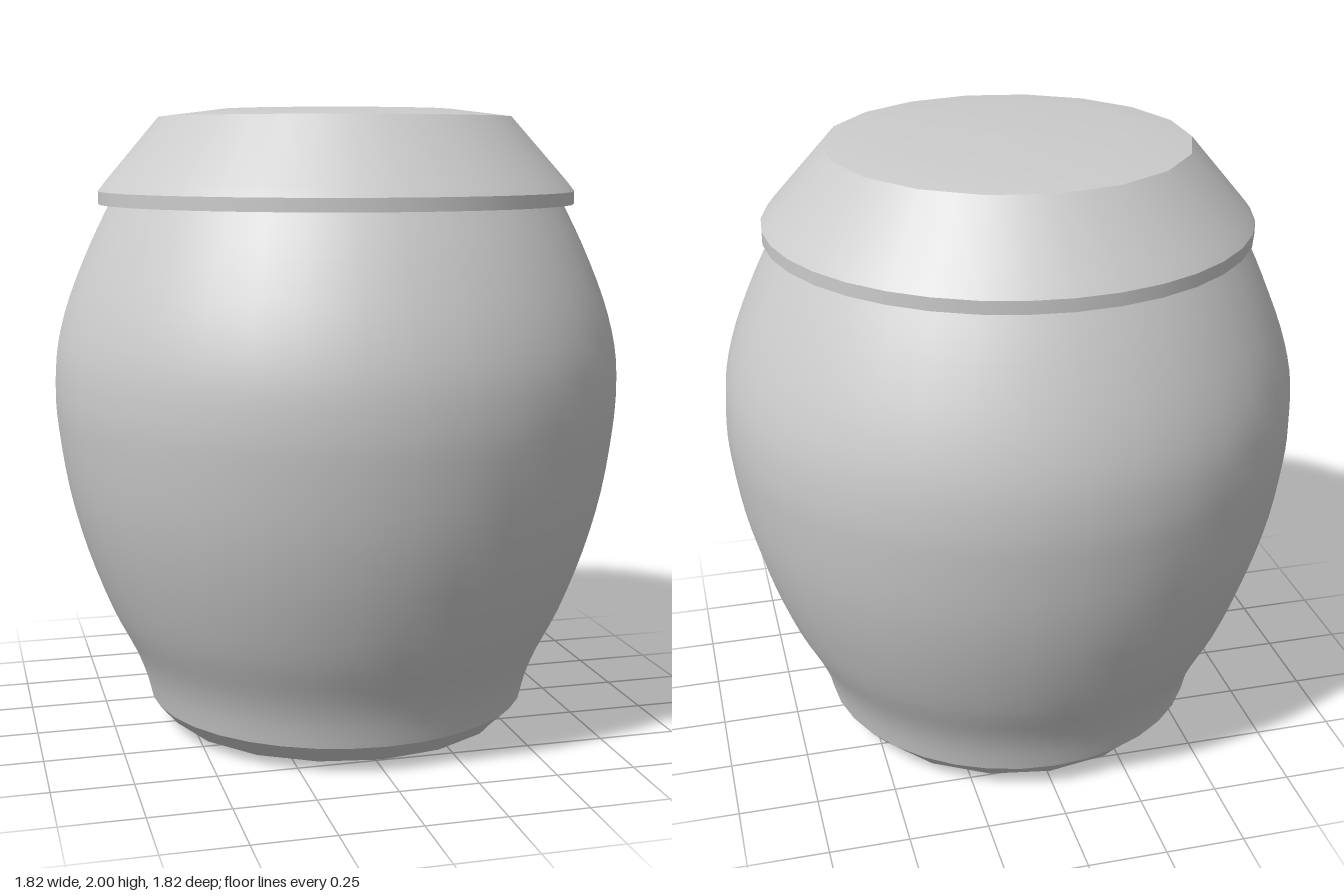
import * as THREE from 'three';

const SEGMENTS = 36;
const CAP_RADIUS = 0.565;
const material = new THREE.MeshStandardMaterial({ color: 0xcccccc });

// Turned part; profile runs bottom to top so faces point outward.
// Rings narrower than 0.57 are flattened into 18-sided polygons.
function turned(name, profile) {
  const points = profile.map(([r, y]) => new THREE.Vector2(r, y));
  const geometry = new THREE.LatheGeometry(points, SEGMENTS);
  const position = geometry.attributes.position;
  const flat = Math.cos(Math.PI / 18);
  for (let i = 0; i < position.count; i++) {
    const segment = Math.floor(i / points.length);
    if (segment % 2 === 1 && points[i % points.length].x < 0.57) {
      position.setX(i, position.getX(i) * flat);
      position.setZ(i, position.getZ(i) * flat);
    }
  }
  const mesh = new THREE.Mesh(geometry, material);
  mesh.name = name;
  return mesh;
}

export function createModel() {
  const jar = new THREE.Group();
  jar.name = 'liddedJar';

  // Bellied body with a narrow foot
  const bodyCurve = new THREE.SplineCurve([
    [0.62, 0.09], [0.64, 0.17], [0.675, 0.26], [0.745, 0.4], [0.82, 0.6],
    [0.873, 0.8], [0.903, 1.0], [0.91, 1.12], [0.9, 1.25], [0.86, 1.4],
    [0.79, 1.57], [0.725, 1.7],
  ].map(([r, y]) => new THREE.Vector2(r, y)));
  jar.add(turned('body', bodyCurve.getPoints(33).map((p) => [p.x, p.y])));

  // Foot: slightly domed underside and chamfer
  jar.add(turned('underside', [[0, 0], [0.37, 0.004], [CAP_RADIUS, 0.028]]));
  jar.add(turned('footChamfer', [[CAP_RADIUS, 0.028], [0.62, 0.09]]));

  // Lid: lip underside, upright rim, sloping shoulder, shallow top
  jar.add(turned('lidLip', [[0.7, 1.7], [0.76, 1.7]]));
  jar.add(turned('lidRim', [[0.76, 1.7], [0.76, 1.74]]));
  jar.add(turned('lidShoulder', [[0.76, 1.74], [0.735, 1.772], [CAP_RADIUS, 1.972]]));
  jar.add(turned('lidTop', [[CAP_RADIUS, 1.972], [0.37, 1.996], [0, 2]]));

  return jar;
}
